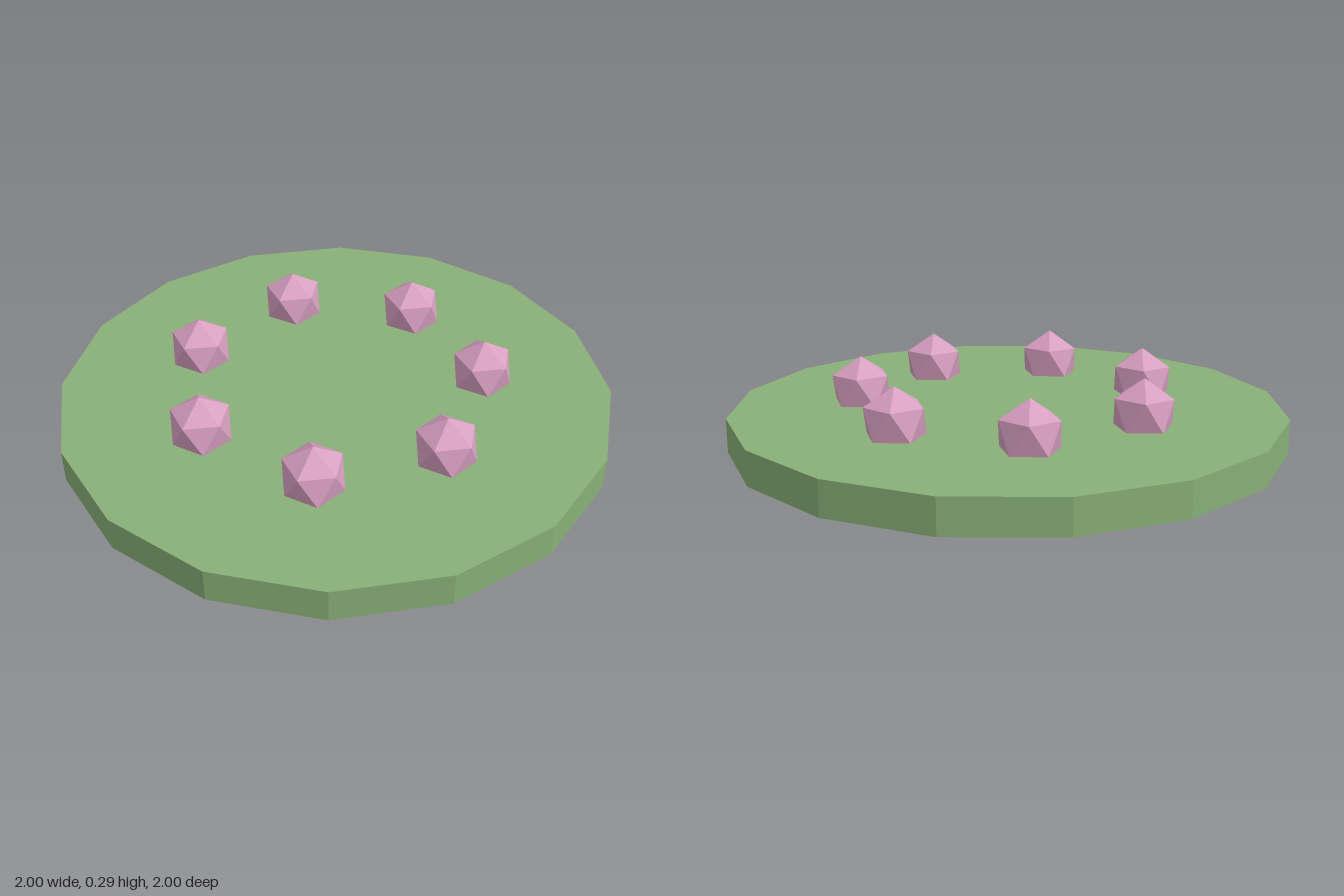
import * as THREE from 'three';

export function createModel() {
  const green = new THREE.MeshStandardMaterial({ color: 0x88b077 });
  green.name = 'leafGreen';
  green.flatShading = true;
  const pink = new THREE.MeshStandardMaterial({ color: 0xd9a0c2 });
  pink.name = 'blossomPink';
  pink.flatShading = true;

  const group = new THREE.Group();
  group.name = 'padWithBuds';

  // Sixteen-sided pad
  const height = 0.123;
  const pad = new THREE.Mesh(new THREE.CylinderGeometry(1, 1, height, 16), green);
  pad.name = 'pad';
  pad.position.y = height / 2;
  group.add(pad);

  // Bud: icosahedron turned to stand on a corner, with an upper corner towards +x
  const budGeometry = new THREE.IcosahedronGeometry(0.118, 0);
  budGeometry.rotateZ(-Math.atan(2 / (1 + Math.sqrt(5))));

  // Ring of seven buds, half sunk into the pad
  const count = 7;
  const ringRadius = 0.538;
  for (let i = 0; i < count; i++) {
    const angle = (i / count) * Math.PI * 2;
    const bud = new THREE.Mesh(budGeometry, pink);
    bud.name = `bud${i + 1}`;
    bud.position.set(Math.cos(angle) * ringRadius, 0.174, Math.sin(angle) * ringRadius);
    group.add(bud);
  }
  return group;
}
